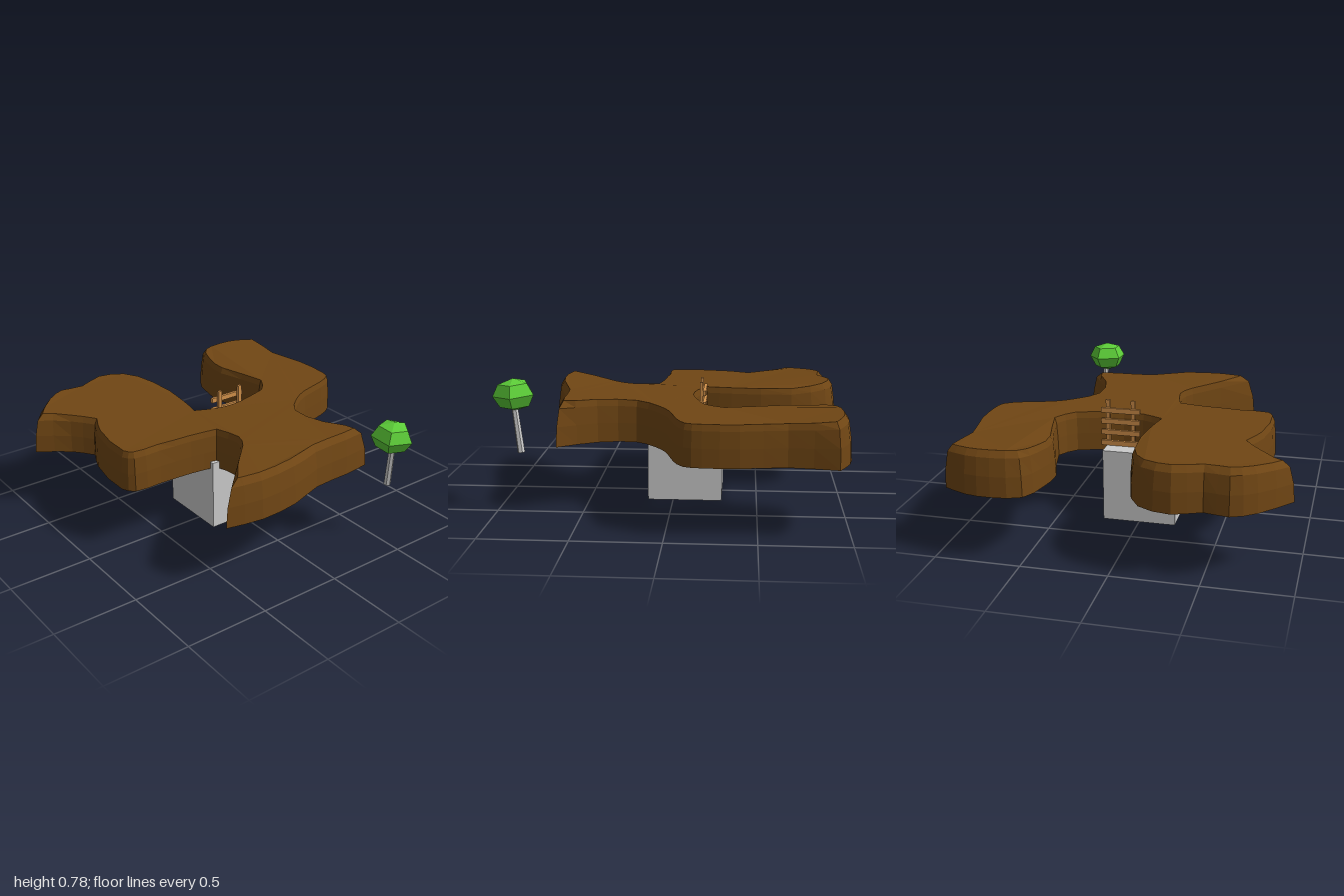
import * as THREE from 'three';

const mat = (color) => new THREE.MeshStandardMaterial({ color, flatShading: true });

// Foot of the slab as x, z curves, clockwise from above; each runs on to the next one's start
const leftLobe = [[-0.95, -0.69], [-0.78, -0.88], [-0.64, -0.96], [-0.5, -0.935], [-0.34, -0.995], [-0.15, -0.93], [-0.055, -0.71], [-0.07, -0.34]];
const bay = [[-0.095, -0.195], [0.01, -0.15], [0.13, -0.135], [0.26, -0.16]];
const rightLobe = [[0.4, -0.2], [0.485, -0.31], [0.4, -0.62], [0.42, -0.8], [0.48, -0.96], [0.65, -1], [0.8, -0.985]];
const rightSide = [[0.94, -0.92], [0.9, -0.65], [0.94, -0.4], [0.94, -0.2], [0.915, -0.1], [0.8, -0.04], [0.62, 0.01], [0.5, 0.08], [0.39, 0.2], [0.41, 0.42]];
const frontEdge = [[0.55, 0.64], [0.38, 0.66], [0.14, 0.67], [-0.08, 0.74], [-0.33, 0.762]];
const frontLeft = [[-0.55, 0.72], [-0.2, 0.38], [-0.15, 0.28]];
const leftSide = [[-0.18, 0.13], [-0.34, 0.105], [-0.55, 0.095], [-0.72, 0.09], [-0.77, 0.02], [-0.74, -0.3]];
const leftNotch = [[-0.68, -0.44], [-0.77, -0.56]];
const SECTIONS = [leftLobe, bay, rightLobe, rightSide, frontEdge, frontLeft, leftSide, leftNotch];
const FOOT = 0.395;

// Smooth points along each curve, with sharp corners where curves meet
function footOutline() {
  return SECTIONS.flatMap((section, s) => {
    const ends = [...section, SECTIONS[(s + 1) % SECTIONS.length][0]];
    const curve = new THREE.CatmullRomCurve3(ends.map(([x, z]) => new THREE.Vector3(x, 0, z)));
    return curve.getPoints(section.length * 2).slice(0, -1);
  });
}

// Top surface dips in the middle and rises gently to the front and back
function topHeight(x, z) {
  const front = Math.max(0, z) * (x < 0 ? 0.045 : 0.03);
  const back = Math.max(0, -z - 0.7) * 0.09;
  return 0.632 + front + back - Math.max(0, x - 0.4) * 0.01;
}

// Mitred step from each foot point to the top edge; front and back walls lean in the most
function insets(outline) {
  const n = outline.length;
  const normals = outline.map((p, i) => {
    const d = outline[(i + 1) % n].clone().sub(p).normalize();
    return new THREE.Vector3(-d.z, 0, d.x);
  });
  return outline.map((p, i) => {
    const a = normals[(i + n - 1) % n], b = normals[i];
    const lean = Math.abs(p.z) > 0.6 ? 0.027 * Math.max(Math.abs(a.z), Math.abs(b.z)) : 0;
    const depth = 0.018 + lean + (p.x < -0.5 ? 0.008 : 0);
    return a.clone().add(b).multiplyScalar(depth / Math.max(0.5, 1 + a.dot(b)));
  });
}

function slabGeometry() {
  const outline = footOutline(), steps = insets(outline), n = outline.length;
  // One loop per level: share of the inset, share of the height
  const levels = [[0, 0], [0.12, 0.45], [0.45, 0.85], [1, 1]];
  const loops = levels.map(([inset, rise]) => outline.map((p, i) => {
    const v = p.clone().addScaledVector(steps[i], inset);
    v.y = FOOT + (topHeight(v.x, v.z) - FOOT) * rise;
    return v;
  }));
  const pos = [];
  const tri = (...corners) => corners.forEach((v) => pos.push(v.x, v.y, v.z));
  // Side walls
  for (let k = 0; k < loops.length - 1; k++) {
    for (let i = 0; i < n; i++) {
      const j = (i + 1) % n, lo = loops[k], hi = loops[k + 1];
      tri(lo[i], hi[i], hi[j]);
      tri(lo[i], hi[j], lo[j]);
    }
  }
  // Underside and top
  const cap = (loop, up) => {
    const flat = loop.map((v) => new THREE.Vector2(v.x, v.z));
    for (const f of THREE.ShapeUtils.triangulateShape(flat, [])) {
      const [a, b, c] = f.map((i) => loop[i]);
      const facesUp = (b.z - a.z) * (c.x - a.x) - (b.x - a.x) * (c.z - a.z) > 0;
      if (facesUp === up) tri(a, b, c);
      else tri(a, c, b);
    }
  };
  cap(loops[0], false);
  cap(loops[loops.length - 1], true);
  const g = new THREE.BufferGeometry();
  g.setAttribute('position', new THREE.Float32BufferAttribute(pos, 3));
  g.computeVertexNormals();
  return g;
}

export function createModel() {
  const model = new THREE.Group();
  const add = (parent, name, geometry, material, x = 0, y = 0, z = 0) => {
    const mesh = new THREE.Mesh(geometry, material);
    mesh.name = name;
    mesh.position.set(x, y, z);
    parent.add(mesh);
    return mesh;
  };
  const grey = mat(0xcccccc), wood = mat(0xd2914a);

  // Earth slab on its block
  add(model, 'groundSlab', slabGeometry(), mat(0x704614));
  add(model, 'baseBlock', new THREE.BoxGeometry(0.44, 0.44, 0.44), grey, 0, 0.22, -0.07);

  // Ladder in the back bay
  const ladder = new THREE.Group();
  ladder.name = 'ladder';
  model.add(ladder);
  for (const x of [0.063, 0.216]) {
    add(ladder, 'ladderRail', new THREE.BoxGeometry(0.024, 0.36, 0.018), wood, x, 0.54, -0.167);
  }
  for (let i = 0; i < 4; i++) {
    add(ladder, 'ladderRung', new THREE.BoxGeometry(0.236, 0.03, 0.018), wood, 0.134, 0.66 - i * 0.068, -0.187);
  }

  // Leaning tree in front
  const tree = new THREE.Group();
  tree.name = 'tree';
  model.add(tree);
  const root = new THREE.Vector3(0.535, 0.36, 0.842), tip = new THREE.Vector3(0.512, 0.66, 0.882);
  const lean = tip.clone().sub(root);
  const middle = root.clone().add(tip).multiplyScalar(0.5);
  const trunk = add(tree, 'trunk', new THREE.CylinderGeometry(0.018, 0.021, lean.length(), 6), grey, ...middle);
  trunk.quaternion.setFromUnitVectors(new THREE.Vector3(0, 1, 0), lean.normalize());
  const crown = add(tree, 'crown', new THREE.SphereGeometry(0.124, 5, 4), mat(0x5ccc38), 0.507, 0.69, 0.877);
  crown.scale.y = 0.75;
  crown.rotation.set(0.06, Math.PI, 0.04);
  return model;
}
